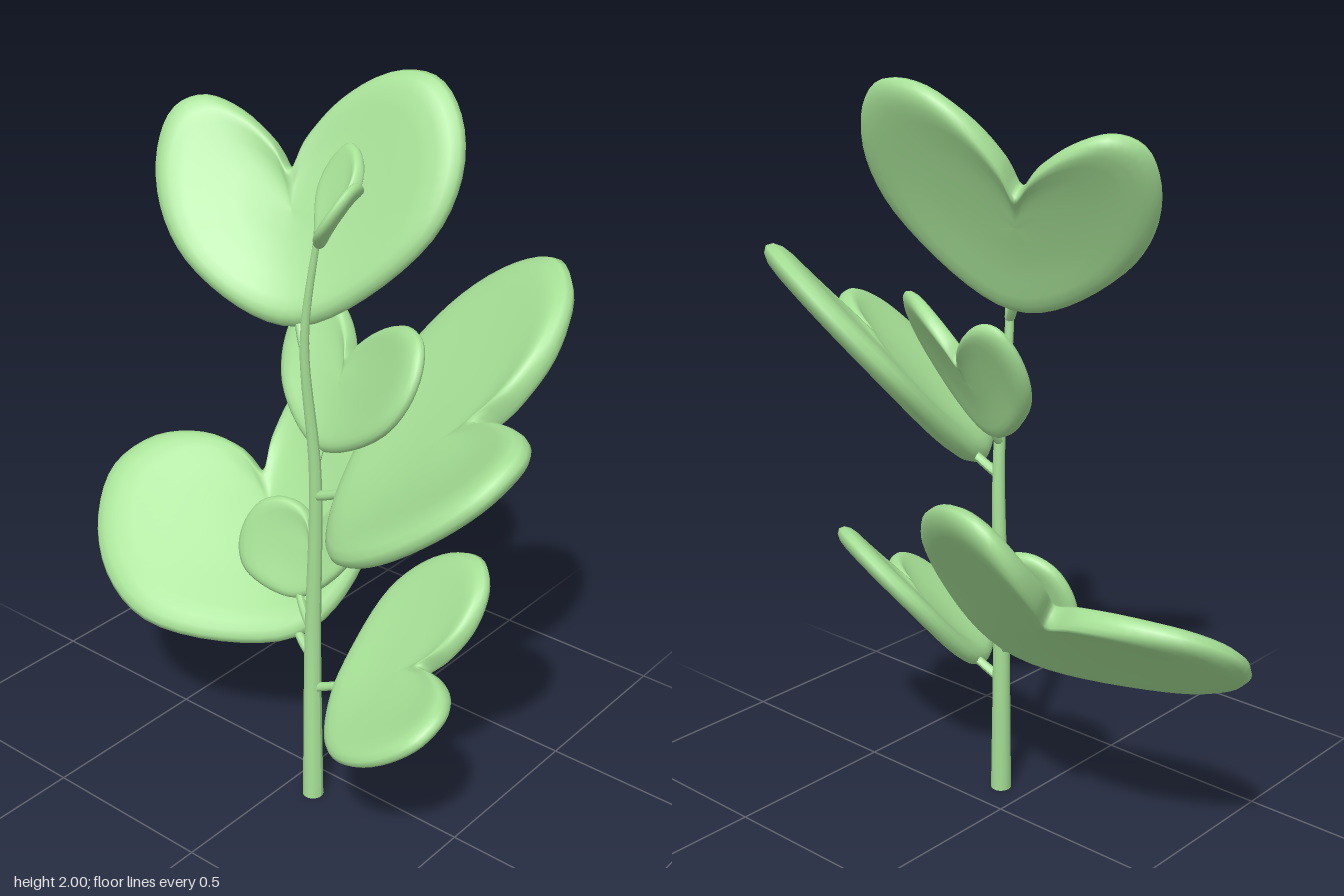
import * as THREE from 'three';

const V = (a) => new THREE.Vector3(...a);

// Heart outline, right half, from the tip up round the lobe to the notch
const half = [[0, 0], [0.25, 0.075], [0.48, 0.25], [0.585, 0.48], [0.59, 0.74], [0.51, 0.93],
  [0.36, 1], [0.2, 0.95], [0.07, 0.82], [0, 0.69]];
const mirrored = half.slice(1, -1).reverse().map(([x, y]) => [-x, y]);
const outline = new THREE.CatmullRomCurve3(
  [...half, ...mirrored].map(([x, y]) => new THREE.Vector3(x, y, 0)), true).getPoints(72).slice(0, -1);

// Leaf cross-section: [distance from the centre, height], with a slightly raised rim
const face = [[0.001, 0.65], [0.2, 0.65], [0.4, 0.68], [0.6, 0.8], [0.76, 0.97], [0.86, 1], [0.93, 0.85], [0.98, 0.5]];
const profile = [...face, [1, 0], ...face.slice().reverse().map(([s, h]) => [s, -h])];

// tip: where the leaf meets its stalk; n: tip to notch; u1, u2: sideways reach of each lobe
const leaves = [
  { name: 'lowerFrontLeaf', tip: [-0.08, 0.375, 0.15], n: [0.02, 0.165, 0.28], u1: [0.21, 0.165, -0.08], u2: [-0.225, -0.095, 0.05], t: 0.027 },
  { name: 'lowerBackLeaf', tip: [-0.07, 0.465, 0], n: [0.27, 0.285, -0.34], u1: [0.11, 0.195, 0.245], u2: [-0.27, -0.145, -0.31], t: 0.034 },
  { name: 'lowerSmallLeaf', tip: [-0.02, 0.55, -0.04], n: [0.06, 0.195, 0.015], u1: [0.012, 0.064, 0.145], u2: [-0.042, -0.036, -0.18], t: 0.02 },
  { name: 'middleFrontLeaf', tip: [-0.1, 0.965, 0.17], n: [0.06, 0.295, 0.385], u1: [0.33, 0.195, -0.17], u2: [-0.3, -0.105, 0.075], t: 0.034 },
  { name: 'middleSmallLeaf', tip: [-0.07, 1.06, 0.08], n: [0.11, 0.225, 0.02], u1: [-0.09, 0.05, 0.24], u2: [0.02, 0.035, -0.18], t: 0.022 },
  { name: 'upperLeaf', tip: [-0.11, 1.4, 0.05], n: [0.135, 0.34, -0.13], u1: [0.1, 0.13, 0.35], u2: [-0.135, 0, -0.26], t: 0.032 },
  { name: 'topLeaf', tip: [-0.122, 1.63, 0.115], n: [0.052, 0.115, 0.06], u1: [0.085, 0.048, -0.1], u2: [-0.102, 0.008, 0.048], t: 0.015 },
];

function leafGeometry({ tip, n, u1, u2, t }) {
  const T = V(tip), N = V(n), A = V(u1), B = V(u2).negate();
  const normal = A.clone().add(B).cross(N).normalize();
  const pos = [], index = [], count = outline.length;
  for (const [s, h] of profile) {
    for (const o of outline) {
      const x = o.x * s, y = 0.5 + (o.y - 0.5) * s;
      // turn gradually from one lobe's direction to the other, giving a shallow cup
      const side = B.clone().lerp(A, THREE.MathUtils.smoothstep(x, -0.5, 0.5));
      const p = T.clone().addScaledVector(side, x / 0.5).addScaledVector(N, y / 0.69).addScaledVector(normal, h * t);
      pos.push(p.x, p.y, p.z);
    }
  }
  for (let k = 0; k < profile.length - 1; k++) {
    for (let i = 0; i < count; i++) {
      const j = (i + 1) % count;
      const a = k * count + i, b = k * count + j, c = a + count, d = b + count;
      index.push(a, c, d, a, d, b);
    }
  }
  const g = new THREE.BufferGeometry();
  g.setAttribute('position', new THREE.Float32BufferAttribute(pos, 3));
  g.setIndex(index);
  g.computeVertexNormals();
  return g;
}

// Tube whose radius shrinks from r0 to r1
function taperedTube(curve, r0, r1, segments, sides) {
  const g = new THREE.TubeGeometry(curve, segments, r0, sides);
  const p = g.attributes.position, v = new THREE.Vector3();
  for (let i = 0; i < p.count; i++) {
    const f = Math.floor(i / (sides + 1)) / segments;
    const c = curve.getPointAt(f);
    v.fromBufferAttribute(p, i).sub(c).multiplyScalar(1 + (r1 / r0 - 1) * f).add(c);
    p.setXYZ(i, v.x, v.y, v.z);
  }
  g.computeVertexNormals();
  return g;
}

export function createModel() {
  const model = new THREE.Group();
  model.name = 'plant';
  const green = new THREE.MeshStandardMaterial({ color: 0xa6e096, side: THREE.DoubleSide });
  const add = (name, geometry) => {
    const mesh = new THREE.Mesh(geometry, green);
    mesh.name = name;
    model.add(mesh);
    return mesh;
  };

  // Main stem with a flat base
  const stemPoints = [[-0.098, 0, 0.085], [-0.085, 0.48, 0.073], [-0.095, 1, 0.09], [-0.13, 1.38, 0.085], [-0.122, 1.66, 0.12]].map(V);
  const stem = new THREE.CatmullRomCurve3(stemPoints);
  add('stem', taperedTube(stem, 0.029, 0.008, 40, 14));
  const base = add('stemBase', new THREE.CircleGeometry(0.029, 14));
  base.rotation.x = Math.PI / 2;
  base.position.copy(stemPoints[0]).setY(0.001);

  // Heart-shaped leaves, each on a short stalk
  for (const leaf of leaves) {
    add(leaf.name, leafGeometry(leaf));
    if (leaf.name === 'topLeaf') continue;
    const start = stem.getPoints(100).reduce((best, p) =>
      Math.abs(p.y - leaf.tip[1] + 0.03) < Math.abs(best.y - leaf.tip[1] + 0.03) ? p : best);
    const end = V(leaf.tip).addScaledVector(V(leaf.n), 0.15);
    const bend = V(leaf.tip).lerp(start, 0.25);
    add(leaf.name + 'Stalk', taperedTube(new THREE.QuadraticBezierCurve3(start, bend, end), 0.014, 0.011, 8, 8));
  }
  return model;
}
